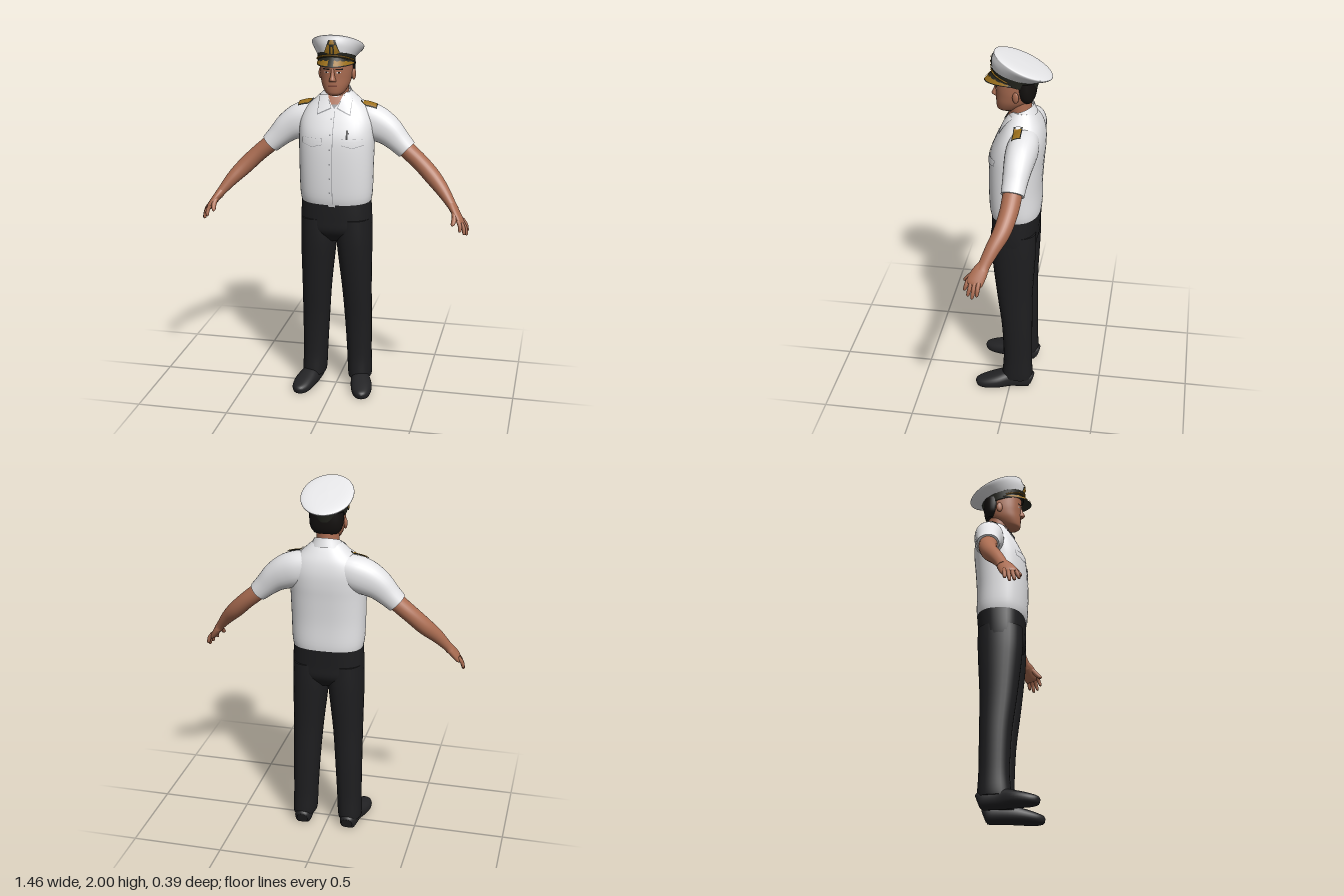
import * as THREE from 'three';

const mat = (name, color) => new THREE.MeshStandardMaterial({ name, color, side: THREE.DoubleSide });
const V = (x, y, z) => new THREE.Vector3(x, y, z);

// Smooth interpolation through rows of numbers
function smoothRows(rows, sub) {
  const out = [], at = i => rows[Math.min(rows.length - 1, Math.max(0, i))];
  for (let i = 0; i < rows.length - 1; i++)
    for (let k = 0; k < sub; k++) {
      const t = k / sub;
      out.push(rows[i].map((b, j) => {
        const a = at(i - 1)[j], c = at(i + 1)[j], d = at(i + 2)[j];
        return b + 0.5 * t * (c - a + t * (2 * a - 5 * b + 4 * c - d + t * (3 * (b - c) + d - a)));
      }));
    }
  out.push(rows[rows.length - 1]);
  return out;
}

// Skin over cross-sections [x, y, z, width, depth, tilt]; limbs turn with their path
function loft(rows, { limb = false, ref = V(0, 0, 1), p = 2, sub = 4, seg = 28, caps = true } = {}) {
  const S = smoothRows(rows.map(r => [...r, 0].slice(0, 6)), sub), pos = [], idx = [];
  const centre = i => V(...S[Math.max(0, Math.min(S.length - 1, i))].slice(0, 3));
  const pw = c => Math.sign(c) * Math.abs(c) ** (2 / p);
  S.forEach(([x, y, z, ra, rb, tilt], i) => {
    const T = limb ? centre(i + 1).sub(centre(i - 1)).normalize() : V(0, 1, 0);
    const B = ref.clone().addScaledVector(T, -ref.dot(T)).normalize(), A = B.clone().cross(T);
    for (let k = 0; k < seg; k++) {
      const a = k / seg * Math.PI * 2;
      const q = V(x, y, z).addScaledVector(A, ra * pw(Math.cos(a))).addScaledVector(B, rb * pw(Math.sin(a)));
      pos.push(q.x, q.y + tilt * (q.z - z), q.z);
    }
  });
  for (let i = 0; i < S.length - 1; i++)
    for (let k = 0; k < seg; k++) {
      const a = i * seg + k, b = i * seg + (k + 1) % seg;
      idx.push(a, b, a + seg, b, b + seg, a + seg);
    }
  if (caps) for (const end of [0, S.length - 1]) {
    const base = pos.length / 3;
    pos.push(...pos.slice(end * seg * 3, (end + 1) * seg * 3), ...S[end].slice(0, 3));
    for (let k = 0; k < seg; k++) {
      const a = base + k, b = base + (k + 1) % seg;
      idx.push(...(end ? [a, b, base + seg] : [b, a, base + seg]));
    }
  }
  const g = new THREE.BufferGeometry();
  g.setAttribute('position', new THREE.Float32BufferAttribute(pos, 3));
  g.setIndex(idx);
  g.computeVertexNormals();
  return g;
}

// Grid whose points come from a rule f(u, v), both 0..1
function grid(f, nu = 8, nv = 8) {
  const g = new THREE.PlaneGeometry(1, 1, nu, nv), P = g.attributes.position;
  for (let i = 0; i < P.count; i++) P.setXYZ(i, ...f(P.getX(i) + 0.5, P.getY(i) + 0.5));
  g.computeVertexNormals();
  return g;
}

export function createModel() {
  const root = new THREE.Group();
  root.name = 'officer';
  const white = mat('white cloth', 0xe6e6e8), skin = mat('skin', 0xab6d52), black = mat('black cloth', 0x1e1e20);
  const shoeM = mat('shoe leather', 0x232325), band = mat('cap band', 0x25261f), gold = mat('gold', 0x9c701c);
  const hairM = mat('hair', 0x14110f), grey = mat('seam grey', 0x8f9094), lip = mat('lips', 0x7c4436);
  const add = (name, g, m) => {
    const mesh = new THREE.Mesh(g, m);
    mesh.name = name;
    root.add(mesh);
    return mesh;
  };
  const ray = new THREE.Raycaster();
  // Four-cornered thin patch laid on a surface, from the front or from above
  const patch = (name, m, [a, b, c, d], targets, lift, top = false, n = 8) => {
    let last = top ? 1.6 : 0.05;
    const mix = (u, v, j) => (a[j] * (1 - u) + b[j] * u) * v + (c[j] * (1 - u) + d[j] * u) * (1 - v);
    return add(name, grid((u, v) => {
      const x = mix(u, v, 0), w = mix(u, v, 1);
      ray.set(top ? V(x, 3, w) : V(x, w, 2), top ? V(0, -1, 0) : V(0, 0, -1));
      const hit = ray.intersectObjects(targets)[0];
      if (hit) last = top ? hit.point.y : hit.point.z;
      return top ? [x, last + lift, w] : [x, w, last + lift];
    }, n, n), m);
  };
  const rect = (x, y, w, h) => [[x - w, y + h], [x + w, y + h], [x - w, y - h], [x + w, y - h]];
  // Body rows given as height, half width, front z, back z
  const body = rows => rows.map(([y, rx, f, b]) => [0, y, (f + b) / 2, rx, (f - b) / 2]);

  // Shirt, trousers and neck
  const torso = add('shirtBody', loft(body([
    [1.075, 0.183, 0.113, -0.143], [1.13, 0.195, 0.125, -0.15], [1.25, 0.199, 0.13, -0.15], [1.38, 0.202, 0.128, -0.158],
    [1.46, 0.203, 0.118, -0.165], [1.53, 0.198, 0.09, -0.165], [1.59, 0.17, 0.058, -0.153],
    [1.64, 0.12, 0.03, -0.13], [1.68, 0.076, 0.005, -0.105]]), { p: 2.5, seg: 48 }), white);
  add('trouserHips', loft(body([[0.87, 0.185, 0.06, -0.09], [0.93, 0.193, 0.108, -0.134], [1.0, 0.194, 0.115, -0.14],
    [1.1, 0.188, 0.117, -0.147]]), { p: 2.5, seg: 48 }), black);
  add('neck', loft([[0, 1.58, -0.045, 0.066, 0.06], [1.66, 0].length && [0, 1.66, -0.037, 0.06, 0.058],
    [0, 1.76, -0.025, 0.06, 0.065]]), skin);
  add('collarStand', loft([[0, 1.645, -0.045, 0.092, 0.078, -0.3], [0, 1.675, -0.043, 0.077, 0.068, -0.35],
    [0, 1.69, -0.042, 0.07, 0.063, -0.4]], { caps: false }), white);

  for (const s of [1, -1]) {
    const side = s > 0 ? 'left' : 'right';
    const mirror = rows => rows.map(([x, ...r]) => [x * s, ...r]);
    const sleeve = add(side + 'Sleeve', loft(mirror([[0.05, 1.555, -0.075, 0.075, 0.065], [0.14, 1.53, -0.07, 0.094, 0.08],
      [0.21, 1.505, -0.063, 0.094, 0.08], [0.275, 1.468, -0.058, 0.08, 0.072], [0.33, 1.418, -0.053, 0.064, 0.064],
      [0.376, 1.374, -0.049, 0.055, 0.06]]), { limb: true, p: 2.2 }), white);
    add(side + 'Arm', loft(mirror([[0.3, 1.44, -0.053, 0.045, 0.05], [0.38, 1.37, -0.048, 0.046, 0.05],
      [0.45, 1.31, -0.04, 0.045, 0.048], [0.52, 1.242, -0.018, 0.044, 0.045], [0.58, 1.18, 0.018, 0.036, 0.038],
      [0.632, 1.115, 0.052, 0.025, 0.031], [0.65, 1.09, 0.062, 0.024, 0.034]]), { limb: true }), skin);
    add(side + 'Palm', loft(mirror([[0.63, 1.118, 0.052, 0.023, 0.029], [0.658, 1.08, 0.073, 0.021, 0.041],
      [0.685, 1.04, 0.093, 0.018, 0.043], [0.694, 1.027, 0.099, 0.012, 0.037]]), { limb: true }), skin);
    // Fingers: root and tip
    [[0.676, 1.05, 0.126, 0.69, 0.998, 0.143], [0.687, 1.042, 0.108, 0.711, 0.98, 0.123],
      [0.693, 1.04, 0.09, 0.721, 0.972, 0.1], [0.694, 1.045, 0.07, 0.723, 0.988, 0.076],
      [0.65, 1.09, 0.09, 0.652, 1.032, 0.146]].forEach(([x, y, z, X, Y, Z], i) => {
      const r = i === 4 ? 0.014 : 0.011;
      add(side + (i === 4 ? 'Thumb' : 'Finger'), loft(mirror([[x, y, z, r, r],
        [(x + X) / 2 + 0.006, (y + Y) / 2, (z + Z) / 2, r, r], [X, Y, Z, r * 0.75, r * 0.75],
        [X, Y - 0.005, Z, 0.003, 0.003]]), { limb: true, seg: 10, sub: 3 }), skin);
    });
    add(side + 'TrouserLeg', loft(mirror([[0.132, 0.055, -0.037, 0.064, 0.088], [0.13, 0.09, -0.039, 0.067, 0.086],
      [0.126, 0.2, -0.04, 0.068, 0.08], [0.12, 0.4, -0.035, 0.074, 0.085], [0.112, 0.6, -0.022, 0.081, 0.098],
      [0.102, 0.8, -0.015, 0.093, 0.115], [0.098, 0.9, -0.013, 0.097, 0.121], [0.097, 1.0, -0.012, 0.095, 0.122]]),
      { p: 2.3 }), black);
    // Shoe flattened at the ground
    const shoe = loft(mirror([[0.13, 0.035, -0.124, 0.03, 0.032], [0.131, 0.04, -0.1, 0.047, 0.05],
      [0.14, 0.042, 0, 0.052, 0.054], [0.16, 0.032, 0.08, 0.059, 0.044], [0.172, 0.022, 0.145, 0.05, 0.034],
      [0.178, 0.018, 0.182, 0.03, 0.024], [0.18, 0.016, 0.194, 0.008, 0.01]]), { limb: true, ref: V(0, 1, 0), p: 2.3 });
    const P = shoe.attributes.position;
    for (let i = 0; i < P.count; i++) P.setY(i, Math.max(0, P.getY(i)));
    shoe.computeVertexNormals();
    add(side + 'Shoe', shoe, shoeM);

    // Shoulder boards
    const on = [torso, sleeve], m2 = q => q.map(([x, y]) => [x * s, y]);
    patch(side + 'ShoulderBoard', band, m2(rect(0.172, -0.04, 0.043, 0.024)), on, 0.006, true);
    patch(side + 'ShoulderBoardGold', gold, m2(rect(0.175, -0.04, 0.036, 0.019)), on, 0.009, true);
    patch(side + 'ShoulderBoardTip', white, m2(rect(0.137, -0.04, 0.006, 0.012)), on, 0.01, true);
    // Collar wings and pocket flaps with a grey edge beneath
    patch(side + 'CollarEdge', grey, m2([[0.04, 1.662], [0.09, 1.658], [0.014, 1.602], [0.09, 1.568]]), [torso], 0.006);
    patch(side + 'CollarWing', white, m2([[0.04, 1.668], [0.09, 1.664], [0.018, 1.608], [0.086, 1.576]]), [torso], 0.009);
    for (const [h, w] of [[0.052, 0.058], [0.11, 0.062]]) {
      const q = [[h, 1.452], [h + 0.058, 1.452], [h, h < 0.1 ? 1.422 : 1.407], [h + 0.058, h < 0.1 ? 1.407 : 1.422]];
      patch(side + 'PocketEdge', grey, m2(q.map(([x, y], i) => [x, i > 1 ? y - 0.003 : y])), [torso], 0.002);
      patch(side + 'PocketFlap', white, m2(q), [torso], 0.005);
    }
  }
  // Open neck, front seam, buttons, waist trim and pen
  patch('openNeck', skin, [[-0.045, 1.668], [0.045, 1.668], [-0.018, 1.622], [0.018, 1.622]], [torso], 0.004);
  patch('undershirt', grey, [[-0.018, 1.622], [0.018, 1.622], [0, 1.6], [0, 1.6]], [torso], 0.004);
  patch('frontSeam', grey, rect(0.004, 1.34, 0.0015, 0.25), [torso], 0.002, false, 24);
  for (let i = 0; i < 6; i++) patch('button', grey, rect(-0.01, 1.16 + i * 0.078, 0.0035, 0.0035), [torso], 0.004, false, 2);
  patch('buckle', white, rect(0, 1.088, 0.018, 0.008), [torso], 0.006, false, 2);
  patch('pen', black, rect(0.08, 1.475, 0.005, 0.024), [torso], 0.006, false, 4);
  patch('penClip', black, rect(0.086, 1.483, 0.006, 0.004), [torso], 0.006, false, 2);

  // Head
  const head = add('head', loft(body([[1.673, 0.026, 0.07, 0.01], [1.684, 0.045, 0.086, -0.02], [1.7, 0.058, 0.091, -0.045],
    [1.73, 0.073, 0.093, -0.08], [1.765, 0.081, 0.093, -0.1], [1.8, 0.085, 0.095, -0.108],
    [1.86, 0.087, 0.098, -0.112]]), { p: 2.2, seg: 40 }), skin);
  add('hair', loft(body([[1.735, 0.062, -0.05, -0.1], [1.76, 0.082, -0.025, -0.112], [1.8, 0.09, -0.01, -0.118],
    [1.85, 0.091, 0, -0.119]]), { p: 2.2 }), hairM);
  add('nose', loft([[0, 1.752, 0.09, 0.019, 0.016], [0, 1.762, 0.094, 0.018, 0.024], [0, 1.785, 0.092, 0.011, 0.016],
    [0, 1.82, 0.088, 0.009, 0.01]], { seg: 14 }), skin);
  for (const s of [1, -1]) {
    const ear = new THREE.SphereGeometry(1, 14, 10).scale(0.01, 0.03, 0.018).rotateY(-0.3 * s).translate(0.09 * s, 1.777, -0.02);
    add('ear', ear, skin);
    patch('eyeWhite', white, rect(0.033 * s, 1.8, 0.011, 0.003), [head], 0.002, false, 4);
    patch('iris', hairM, rect(0.033 * s, 1.8, 0.0045, 0.004), [head], 0.003, false, 2);
    patch('eyebrow', hairM, rect(0.034 * s, 1.817, 0.018, 0.0035), [head], 0.003, false, 4);
  }
  patch('mouth', lip, rect(0, 1.728, 0.024, 0.004), [head], 0.002);

  // Peaked cap
  const capBand = add('capBand', loft([[0, 1.832, -0.005, 0.093, 0.114, 0.27], [0, 1.877, -0.008, 0.1, 0.122, 0.285]],
    { seg: 48 }), band);
  const crown = add('capCrown', loft([[0, 1.876, -0.008, 0.1, 0.123, 0.285], [0, 1.9, -0.024, 0.119, 0.14, 0.37],
    [0, 1.922, -0.045, 0.136, 0.15, 0.42], [0, 1.934, -0.046, 0.131, 0.144, 0.43], [0, 1.942, -0.046, 0.09, 0.1, 0.43],
    [0, 1.945, -0.046, 0.01, 0.01, 0.43]], { seg: 48 }), white);
  // Visor surface: u runs round the front, v from band to rim
  const visor = (u, v, lift = 0) => {
    const a = u * 1.5, c = Math.cos(a), mix = (p, q) => p + (q - p) * v;
    return [mix(0.094, 0.1) * Math.sin(a), mix(1.842 + 0.042 * c, 1.838 - 0.002 * c) + lift, -0.008 + mix(0.118, 0.164) * c + lift];
  };
  add('visor', grid((u, v) => visor(u * 2 - 1, 1 - v), 32, 6), band);
  for (const s of [1, -1]) {
    add('visorLeaves', grid((u, v) => {
      const w = 0.1 + 0.85 * u, wave = 0.13 * Math.abs(Math.sin(u * 12));
      return visor(s * w, 0.32 + wave + v * (0.6 - wave), 0.003);
    }, 40, 3), gold);
  }
  // Gold cord above the visor and the front emblem
  const cord = [];
  for (let i = 0; i <= 24; i++) {
    const a = -1.35 + 2.7 * i / 24;
    cord.push(V(0.099 * Math.sin(a), 1.848 + 0.044 * Math.cos(a), -0.006 + 0.122 * Math.cos(a)));
  }
  add('capCord', new THREE.TubeGeometry(new THREE.CatmullRomCurve3(cord), 40, 0.0045, 6), gold);
  const cap = [capBand, crown];
  patch('emblemBase', band, [[-0.018, 1.972], [0.018, 1.972], [-0.044, 1.9], [0.044, 1.9]], cap, 0.003);
  for (const s of [1, -1]) patch('emblemWreath', gold,
    [[0.012 * s, 1.945], [0.022 * s, 1.948], [0.014 * s, 1.898], [0.04 * s, 1.906]], cap, 0.007);
  patch('emblemCrest', gold, [[-0.008, 1.972], [0.008, 1.972], [-0.015, 1.95], [0.015, 1.95]], cap, 0.007);
  patch('emblemCentre', gold, rect(0, 1.92, 0.005, 0.018), cap, 0.007, false, 4);
  return root;
}
